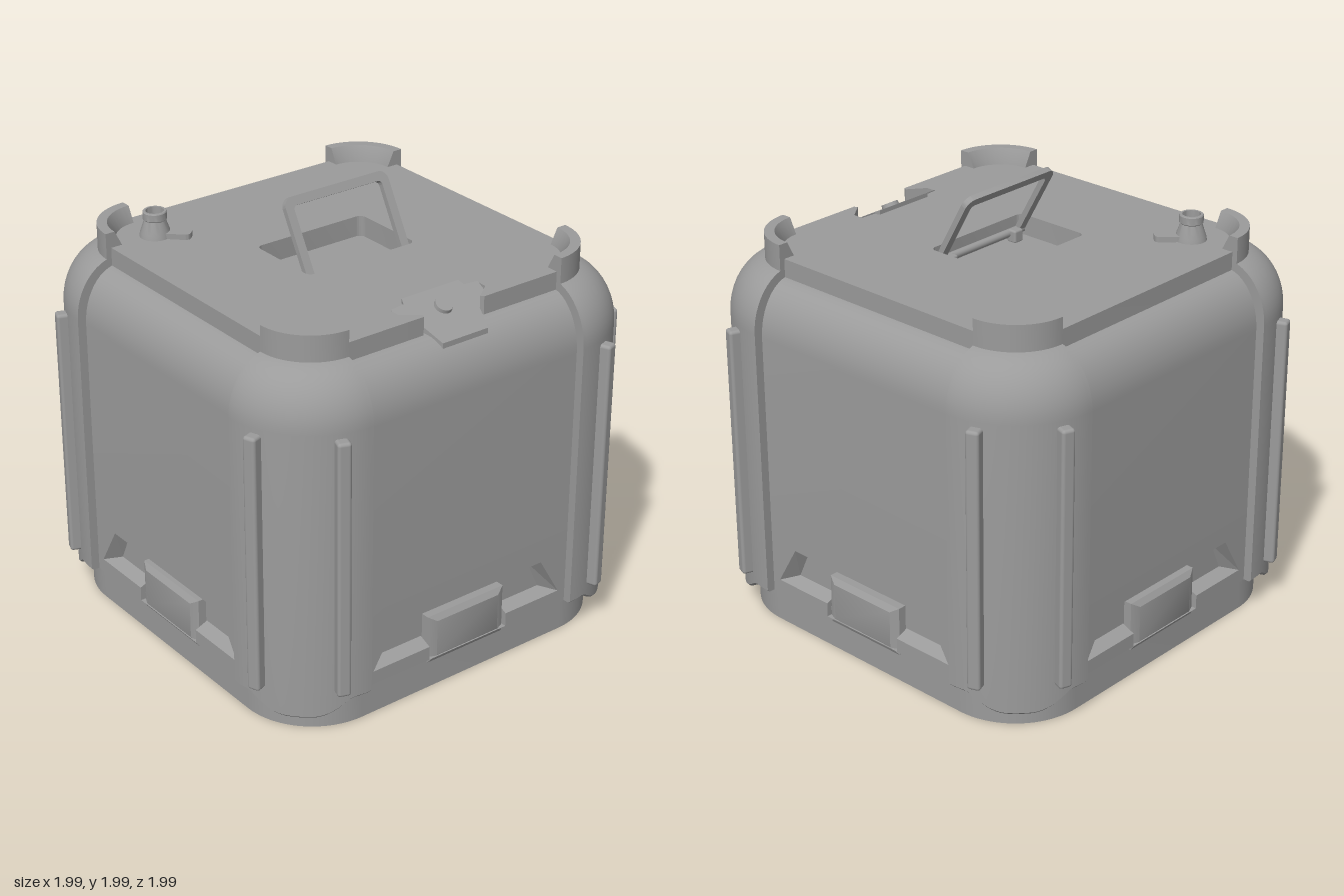
import * as THREE from 'three';
import { toCreasedNormals } from 'three/addons/utils/BufferGeometryUtils.js';
import { RoundedBoxGeometry } from 'three/addons/geometries/RoundedBoxGeometry.js';

const paint = new THREE.MeshStandardMaterial({ color: 0x9b9b9b, side: THREE.DoubleSide });
const V = (x, y) => new THREE.Vector2(x, y);

function add(parent, name, geo, x = 0, y = 0, z = 0) {
  const m = new THREE.Mesh(geo, paint);
  m.name = name;
  m.position.set(x, y, z);
  parent.add(m);
  return m;
}
const crease = (g) => toCreasedNormals(g, 0.5);
const extrude = (shape, depth) =>
  crease(new THREE.ExtrudeGeometry(shape, { depth, bevelEnabled: false, curveSegments: 12 }));
// Slab drawn in (x, z) whose top is at y = 0
const slab = (shape, depth) => extrude(shape, depth).rotateX(Math.PI / 2);
const mirrored = (pts) => [...pts.map(([x, y]) => V(x, y)), ...[...pts].reverse().map(([x, y]) => V(-x, y))];

// Square with rounded corners; frontNotch is an optional list of points cut into the +z edge
function roundedSquare(half, c, frontNotch = []) {
  const s = new THREE.Shape(), r = half - c, q = Math.PI / 2;
  s.absarc(c, -c, r, -q, 0);
  s.absarc(c, c, r, 0, q);
  frontNotch.forEach((p) => s.lineTo(p.x, p.y));
  s.absarc(-c, c, r, q, 2 * q);
  s.absarc(-c, -c, r, 2 * q, 3 * q);
  return s;
}
function roundedRect(w, z0, z1, r) {
  const s = new THREE.Path(), q = Math.PI / 2;
  s.absarc(w - r, z0 + r, r, -q, 0);
  s.absarc(w - r, z1 - r, r, 0, q);
  s.absarc(-w + r, z1 - r, r, q, 2 * q);
  s.absarc(-w + r, z0 + r, r, 2 * q, 3 * q);
  s.closePath();
  return s;
}

// Strip between two matching closed outlines, with the second one filled
function bevelFace(outer, zo, inner, zi) {
  const pos = [], n = outer.length;
  for (let i = 0; i < n; i++) {
    const j = (i + 1) % n, a = outer[i], b = outer[j], c = inner[j], d = inner[i];
    pos.push(a.x, a.y, zo, b.x, b.y, zo, c.x, c.y, zi, a.x, a.y, zo, c.x, c.y, zi, d.x, d.y, zi);
    if (i > 0 && i < n - 1) pos.push(inner[0].x, inner[0].y, zi, d.x, d.y, zi, c.x, c.y, zi);
  }
  const g = new THREE.BufferGeometry();
  g.setAttribute('position', new THREE.Float32BufferAttribute(pos, 3));
  g.computeVertexNormals();
  return g;
}

// Points of a quarter ellipse from its side up to its top
const roundover = (cx, cy, rx, ry) =>
  Array.from({ length: 13 }, (_, i) => (i / 12) * (Math.PI / 2))
    .map((a) => V(cx + rx * Math.cos(a), cy + ry * Math.sin(a)));

// Quarter revolution of a profile with both ends closed; rule moves vertices by angle
function quarter(parent, name, profile, rule) {
  const g = new THREE.LatheGeometry([...profile, profile[0]], 32, 0, Math.PI / 2);
  const p = g.attributes.position;
  if (rule) for (let i = 0; i < p.count; i++) p.setY(i, rule(p.getY(i), Math.atan2(p.getX(i), p.getZ(i))));
  add(parent, name, crease(g), 0.56, 0, 0.56);
  const cap = new THREE.ShapeGeometry(new THREE.Shape(profile));
  add(parent, name + 'End', cap, 0.56, 0, 0.56);
  add(parent, name + 'End', cap.clone().rotateY(-Math.PI / 2), 0.56, 0, 0.56);
}

function cornerGuard() {
  const g = new THREE.Group();
  g.name = 'cornerGuard';
  const shell = [V(0.2, 0.16), V(0.4, 0.16), V(0.41, 0.17), ...roundover(0.2, 1.42, 0.21, 0.25)];
  // Lower edge dips in a curve around the middle of the corner
  quarter(g, 'cornerShell', shell, (y, a) => {
    const fromEnd = THREE.MathUtils.radToDeg(Math.min(a, Math.PI / 2 - a));
    const t = THREE.MathUtils.clamp((fromEnd - 13) / 25, 0, 1);
    return y < 0.3 ? y - 0.076 * Math.sin((t * Math.PI) / 2) : y;
  });
  quarter(g, 'stackingLip', [V(0.165, 1.66), V(0.25, 1.66), V(0.25, 1.78), V(0.205, 1.78), V(0.165, 1.7)]);
  for (const deg of [20, 70]) {
    const a = THREE.MathUtils.degToRad(deg);
    const bar = add(g, 'bumperBar', new RoundedBoxGeometry(0.06, 1.19, 0.1, 3, 0.014),
      0.56 + 0.406 * Math.sin(a), 0.805, 0.56 + 0.406 * Math.cos(a));
    bar.rotation.y = a;
  }
  return g;
}

function sidePanel() {
  const g = new THREE.Group();
  g.name = 'sidePanel';
  // Upper wall with curved shoulder
  const wall = new THREE.Shape([V(0.7, 0.44), V(0.93, 0.44), ...roundover(0.76, 1.39, 0.17, 0.24), V(0.7, 1.63)]);
  add(g, 'panelWall', extrude(wall, 1.12).rotateY(-Math.PI / 2), 0.56);
  // Lower wall around a trapezoid recess that opens downward behind the pad
  const rim = mirrored([[0.215, 0.16], [0.215, 0.225], [0.52, 0.225], [0.41, 0.412]]);
  const floor = mirrored([[0.215, 0.16], [0.215, 0.25], [0.45, 0.25], [0.385, 0.39]]);
  const foot = new THREE.Shape([...rim, V(-0.56, 0.16), V(-0.56, 0.44), V(0.56, 0.44), V(0.56, 0.16)]);
  add(g, 'panelFoot', extrude(foot, 0.06), 0, 0, 0.87);
  add(g, 'recess', bevelFace(rim, 0.93, floor, 0.87));
  // Bevelled pad in the recess
  const rect = (w, y0, y1) => [V(-w, y0), V(w, y0), V(w, y1), V(-w, y1)];
  add(g, 'padBody', new THREE.BoxGeometry(0.42, 0.23, 0.06), 0, 0.245, 0.878);
  add(g, 'padFace', crease(bevelFace(rect(0.21, 0.13, 0.36), 0.908, rect(0.17, 0.165, 0.335), 0.926)));
  return g;
}

function carryHandle() {
  const g = new THREE.Group();
  g.name = 'carryHandle';
  const w = 0.275, h = 0.38, r = 0.045, t = 0.04, q = Math.PI / 2;
  const s = new THREE.Shape();
  s.absarc(w - r, h - r, r, 0, q);
  s.absarc(-w + r, h - r, r, q, 2 * q);
  s.lineTo(-w, 0);
  s.lineTo(-w + t, 0);
  s.absarc(-w + t + 0.02, h - t - 0.02, 0.02, 2 * q, q, true);
  s.absarc(w - t - 0.02, h - t - 0.02, 0.02, q, 0, true);
  s.lineTo(w - t, 0);
  s.lineTo(w, 0);
  add(g, 'handleFrame', extrude(s, 0.026), 0, 0, -0.013);
  add(g, 'hingeRod', new THREE.CylinderGeometry(0.018, 0.018, 0.55, 16).rotateZ(q));
  g.position.set(0, 1.65, 0.165);
  g.rotation.x = -0.51;
  return g;
}

export function createModel() {
  const model = new THREE.Group();
  model.name = 'container';

  // Body
  add(model, 'base', slab(roundedSquare(0.905, 0.56), 0.2), 0, 0.2);
  add(model, 'core', new THREE.BoxGeometry(1.54, 1.515, 1.54), 0, 0.8575);
  for (let k = 0; k < 4; k++) {
    for (const part of [cornerGuard(), sidePanel()]) {
      part.rotation.y = (k * Math.PI) / 2;
      model.add(part);
    }
  }

  // Lid with clasp notch and handle well
  const outline = [[0.12, 0.86], [0.15, 0.77], [0.23, 0.71], [0.23, 0.66], [0.16, 0.655], [0.15, 0.63]];
  const notch = mirrored([[0.16, 0.785], ...outline.slice(1)]);
  const lid = roundedSquare(0.785, 0.56, notch);
  lid.holes.push(roundedRect(0.285, -0.19, 0.185, 0.03));
  add(model, 'lid', slab(lid, 0.1), 0, 1.71);

  // Sloping clasp with button
  const plate = slab(new THREE.Shape(mirrored(outline)), 0.04);
  const p = plate.attributes.position;
  for (let i = 0; i < p.count; i++) p.setY(i, p.getY(i) + 1.73 - 0.53 * (p.getZ(i) - 0.63));
  add(model, 'clasp', crease(plate));
  const button = add(model, 'claspButton', new THREE.CylinderGeometry(0.038, 0.042, 0.03, 24), 0, 1.687, 0.715);
  button.rotation.x = 0.49;

  // Handle and hinge brackets
  model.add(carryHandle());
  for (const x of [-0.207, 0.207]) add(model, 'hingeBracket', new RoundedBoxGeometry(0.055, 0.06, 0.05, 2, 0.01), x, 1.64, 0.145);

  // Spout with hollow mouth and locking lever
  const spout = [[0.07, 0], [0.066, 0.02], [0.047, 0.075], [0.053, 0.08], [0.053, 0.112], [0.05, 0.116],
    [0.04, 0.116], [0.038, 0.03], [0, 0.03]].map(([x, y]) => V(x, y));
  add(model, 'spout', crease(new THREE.LatheGeometry(spout, 28)), -0.558, 1.71, -0.56);
  const lever = new THREE.Shape();
  lever.absarc(0.135, -0.013, 0.025, -Math.PI / 2, 0);
  lever.absarc(0.135, 0.013, 0.025, 0, Math.PI / 2);
  lever.lineTo(0, 0.038);
  lever.lineTo(0, -0.038);
  add(model, 'spoutLever', slab(lever, 0.03), -0.558, 1.735, -0.56).rotation.y = -Math.PI / 4;

  return model;
}
